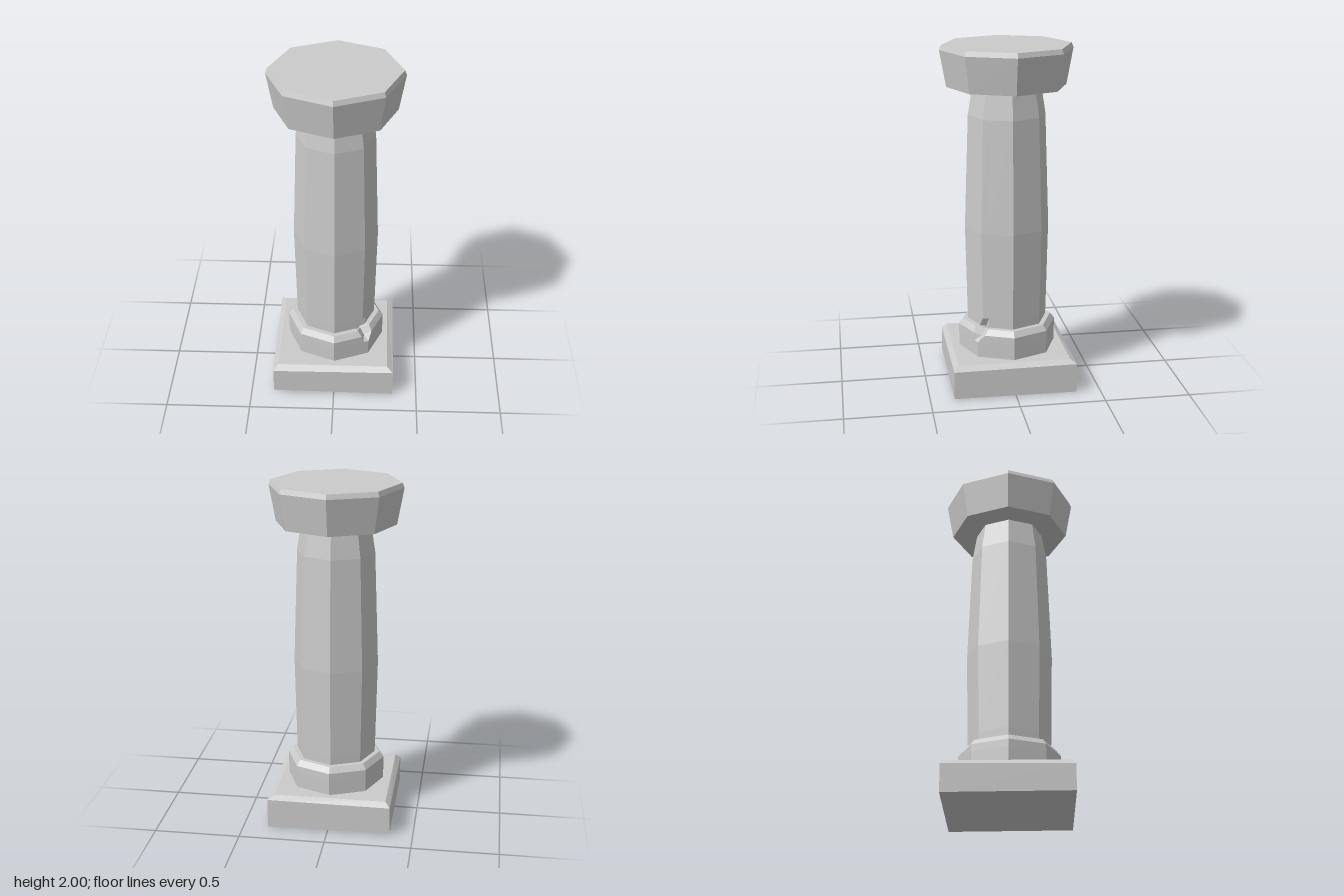
import * as THREE from 'three';

const material = new THREE.MeshStandardMaterial({ color: 0xcccccc, flatShading: true });

// Joins closed cross-sections from bottom to top and caps both ends
function loft(name, rings) {
  const pos = [];
  const tri = (...points) => points.forEach((p) => pos.push(p[0], p[1], p[2]));
  const n = rings[0].length;
  const centre = (ring) => [0, 1, 2].map((k) => ring.reduce((s, p) => s + p[k], 0) / n);
  const bottom = rings[0], top = rings[rings.length - 1];
  const cb = centre(bottom), ct = centre(top);
  for (let j = 0; j < n; j++) {
    const k = (j + 1) % n;
    for (let i = 0; i < rings.length - 1; i++) {
      const a = rings[i], b = rings[i + 1];
      tri(a[j], a[k], b[k]);
      tri(a[j], b[k], b[j]);
    }
    tri(cb, bottom[k], bottom[j]);
    tri(ct, top[j], top[k]);
  }
  const geometry = new THREE.BufferGeometry();
  geometry.setAttribute('position', new THREE.Float32BufferAttribute(pos, 3));
  geometry.computeVertexNormals();
  const mesh = new THREE.Mesh(geometry, material);
  mesh.name = name;
  return mesh;
}

// Octagon with corners on the axes; the front corner at 45 degrees can be chipped
function octagon(r, y, chip = null) {
  const corner = (j, radius = r, h = y) => {
    const a = (j * Math.PI) / 4;
    return [Math.sin(a) * radius, h, Math.cos(a) * radius];
  };
  const mix = (p, q, t) => p.map((v, k) => v + (q[k] - v) * t);
  const ring = [];
  for (let j = 0; j < 8; j++) {
    if (chip && j === 1) {
      ring.push(mix(corner(1), corner(0), chip.width));
      ring.push(corner(1, chip.r, chip.y));
      ring.push(mix(corner(1), corner(2), chip.width));
    } else ring.push(corner(j));
  }
  return ring;
}

// Slightly uneven rectangle: left, right, back, front and a height per corner
const slab = (l, r, b, f, y) => [[l, y[0], f], [r, y[1], f], [r, y[2], b], [l, y[3], b]];

export function createModel() {
  const model = new THREE.Group();
  model.name = 'column';

  // Square plinth with a bevelled top edge
  model.add(loft('plinth', [
    slab(-0.364, 0.356, -0.36, 0.36, [0.015, 0.005, 0, 0.01]),
    slab(-0.364, 0.356, -0.36, 0.36, [0.165, 0.17, 0.175, 0.17]),
    slab(-0.335, 0.32, -0.325, 0.33, [0.195, 0.195, 0.195, 0.195]),
  ]));

  // Foot ring with one broken corner
  model.add(loft('footRing', [
    octagon(0.288, 0.185, { width: 0.15, r: 0.288, y: 0.185 }),
    octagon(0.29, 0.29, { width: 0.15, r: 0.29, y: 0.285 }),
    octagon(0.29, 0.332, { width: 0.2, r: 0.25, y: 0.315 }),
    octagon(0.265, 0.365, { width: 0.25, r: 0.215, y: 0.35 }),
  ]));

  // Swelling shaft, chipped above the broken corner
  const shaftProfile = [
    [0.232, 0.19, 0.2], [0.235, 0.365, 0.205], [0.237, 0.42, 0.237],
    [0.248, 0.94, 0.248], [0.225, 1.6, 0.225], [0.198, 1.77, 0.198],
  ];
  model.add(loft('shaft', shaftProfile.map(([r, y, chipR]) =>
    octagon(r, y, { width: 0.2, r: chipR, y }))));

  // Flared capital with a narrow bevel
  model.add(loft('capital', [
    octagon(0.346, 1.763), octagon(0.384, 1.972), octagon(0.373, 2),
  ]));

  return model;
}
